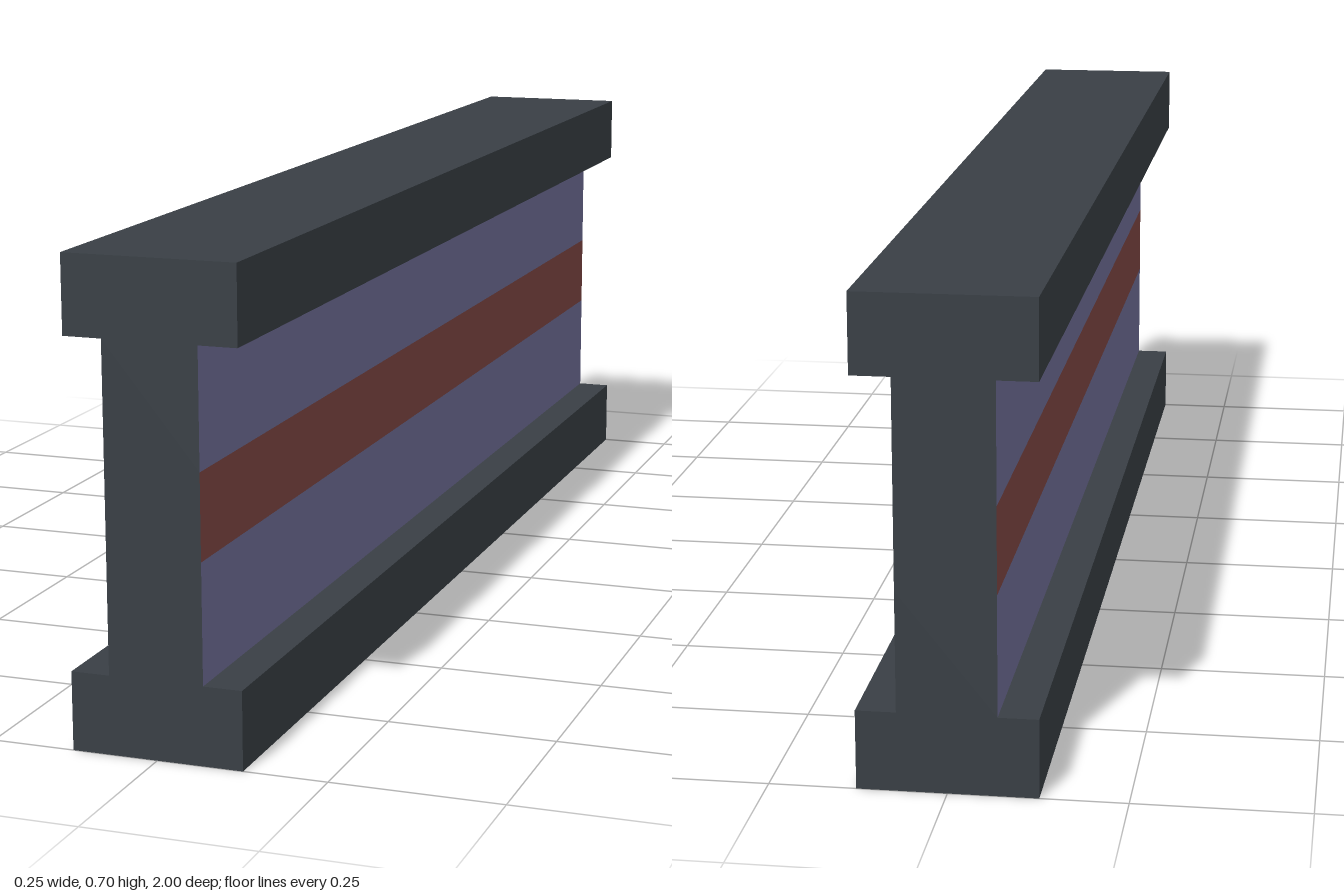
import * as THREE from 'three';

export function createModel() {
  const group = new THREE.Group();
  const mat = (name, color) =>
    new THREE.MeshStandardMaterial({ name, color, side: THREE.DoubleSide });
  const steel = mat('darkSteel', 0x393f45);
  const lilac = mat('lilacWeb', 0x72709a);
  const red = mat('redStripe', 0x824845);

  const L = 1, H = 0.702, F = 0.127, W = 0.07; // half length, height, flange and web half widths
  const low = 0.115, high = 0.588, stripeLow = 0.29, stripeHigh = 0.415;

  // One flat face swept along z from profile point a to b (outside on the right of travel)
  function strip(name, [ax, ay], [bx, by], material) {
    const g = new THREE.BufferGeometry();
    g.setAttribute('position', new THREE.Float32BufferAttribute(
      [ax, ay, L, ax, ay, -L, bx, by, -L, bx, by, L], 3));
    g.setIndex([0, 1, 2, 0, 2, 3]);
    g.computeVertexNormals();
    const mesh = new THREE.Mesh(g, material);
    mesh.name = name;
    group.add(mesh);
  }

  // Right-hand half of the I profile, bottom to top, with the part each segment belongs to
  const points = [[F, 0], [F, low], [W, low], [W, stripeLow], [W, stripeHigh], [W, high], [F, high], [F, H]];
  const parts = [
    ['lowerFlangeSide', steel], ['lowerFlangeLedge', steel], ['lowerWeb', lilac],
    ['webStripe', red], ['upperWeb', lilac], ['upperFlangeLedge', steel], ['upperFlangeSide', steel],
  ];
  const flip = ([x, y]) => [-x, y];
  parts.forEach(([name, material], i) => {
    const a = points[i], b = points[i + 1];
    strip(name + 'Left', a, b, material);
    strip(name + 'Right', flip(b), flip(a), material);
  });

  // Top plate; the beam is a hollow shell, open underneath
  strip('topPlate', [F, H], [-F, H], steel);

  // End caps with the full I outline
  const outline = [...points, ...points.map(flip).reverse()].map(([x, y]) => new THREE.Vector2(x, y));
  for (const [name, turn] of [['frontCap', 0], ['backCap', Math.PI]]) {
    const cap = new THREE.Mesh(new THREE.ShapeGeometry(new THREE.Shape(outline)), steel);
    cap.name = name;
    cap.rotation.y = turn;
    cap.position.z = turn ? -L : L;
    group.add(cap);
  }
  return group;
}
